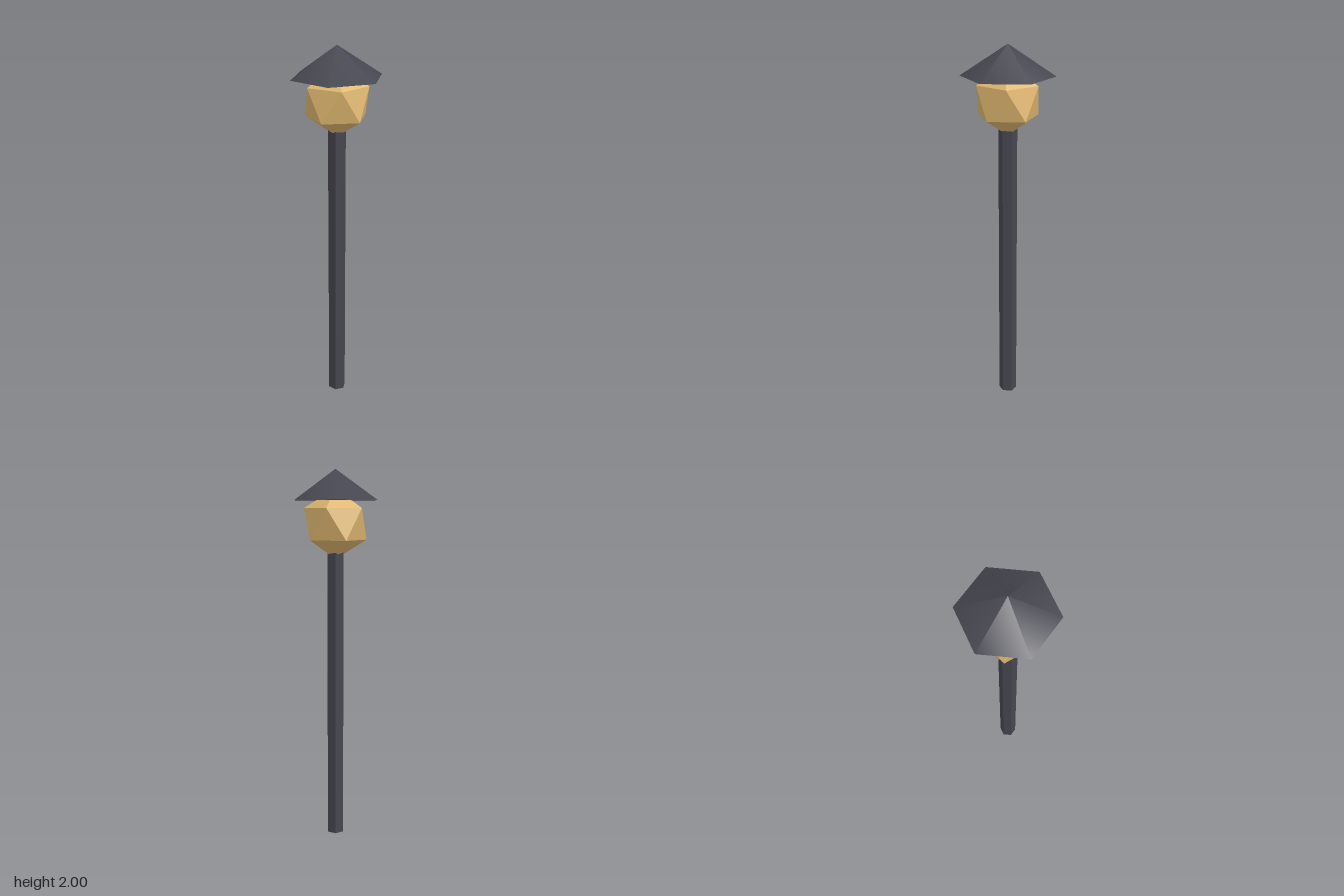
import * as THREE from 'three';

export function createModel() {
  const group = new THREE.Group();
  const iron = new THREE.MeshStandardMaterial({ color: 0x464650 });
  iron.name = 'dark iron';
  const glow = new THREE.MeshStandardMaterial({ color: 0xe0b870 });
  glow.name = 'warm lamp';

  const add = (name, geometry, material, y) => {
    const mesh = new THREE.Mesh(geometry, material);
    mesh.name = name;
    mesh.position.y = y;
    group.add(mesh);
    return mesh;
  };

  // Hexagonal post with crisp facets, ending inside the lamp
  const postHeight = 1.6;
  const post = new THREE.CylinderGeometry(0.049, 0.049, postHeight, 6).toNonIndexed();
  post.computeVertexNormals();
  add('post', post, iron, postHeight / 2);

  // Faceted lamp, turned so that it stands on one of its corners
  const lamp = new THREE.IcosahedronGeometry(0.184, 0);
  lamp.rotateZ(-Math.atan(2 / (1 + Math.sqrt(5))));
  add('lamp', lamp, glow, 1.718);

  // Six-sided cap with a smoothly shaded slope
  add('cap', new THREE.ConeGeometry(0.245, 0.16, 6), iron, 1.92);

  return group;
}
